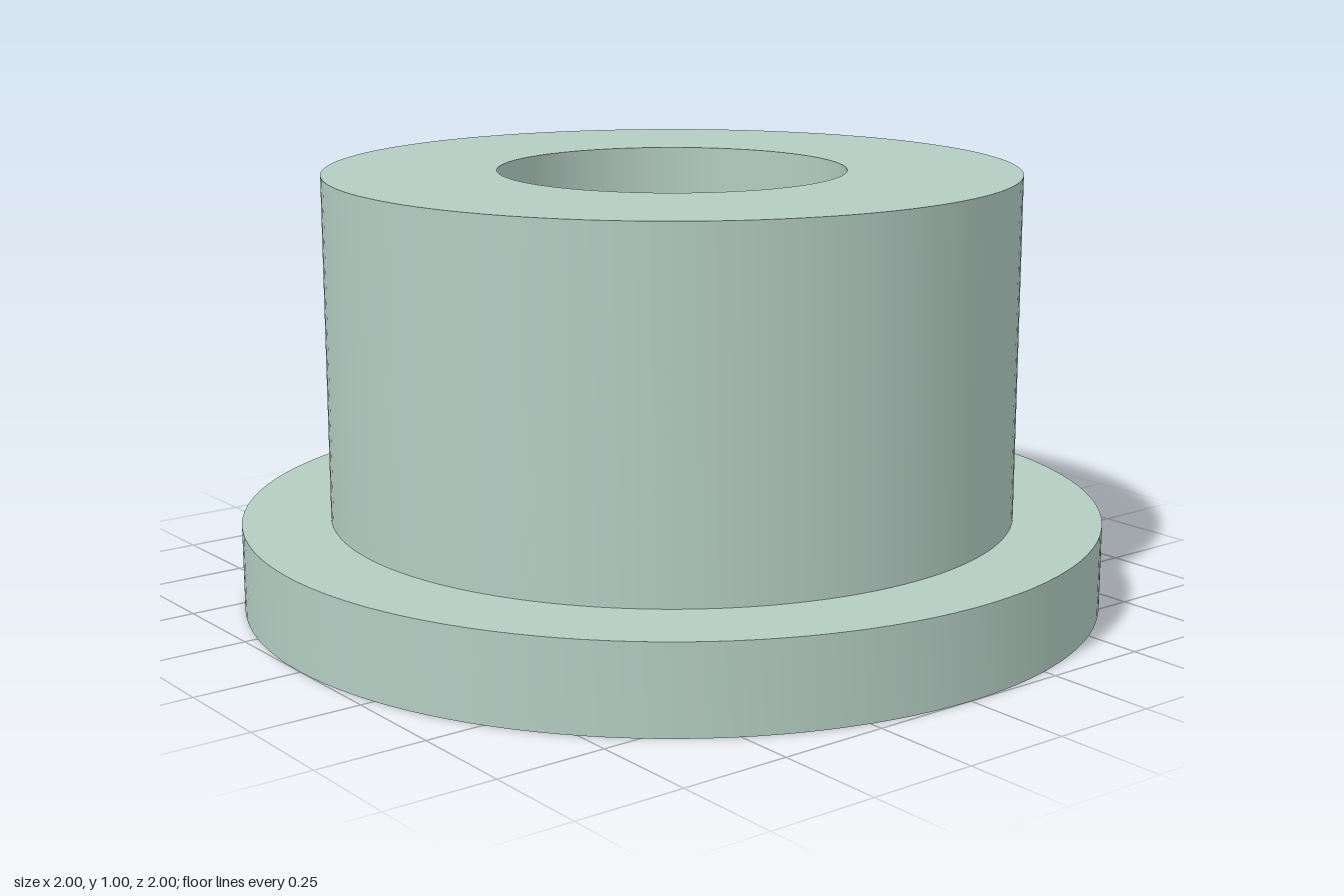
import * as THREE from 'three';
import { toCreasedNormals } from 'three/addons/utils/BufferGeometryUtils.js';

const BORE = 0.4, SLEEVE = 0.797, FLANGE = 1;
const FLANGE_TOP = 0.2, HEIGHT = 0.995;
const SEGMENTS = 128;

export function createModel() {
  const group = new THREE.Group();
  group.name = 'flangedBushing';
  const material = new THREE.MeshStandardMaterial({ color: 0xb3ccc2 });

  // Revolves a [radius, height] profile, keeping its corners sharp
  function addRevolved(name, profile) {
    const points = profile.map(([r, y]) => new THREE.Vector2(r, y));
    const geometry = toCreasedNormals(new THREE.LatheGeometry(points, SEGMENTS), Math.PI / 6);
    const mesh = new THREE.Mesh(geometry, material);
    mesh.name = name;
    group.add(mesh);
  }

  // Flange: lower bore wall, underside, rim and the step around the sleeve
  addRevolved('flange', [
    [BORE, FLANGE_TOP], [BORE, 0], [FLANGE, 0], [FLANGE, FLANGE_TOP], [SLEEVE, FLANGE_TOP],
  ]);

  // Sleeve: outer wall, top ring and upper bore wall
  addRevolved('sleeve', [
    [SLEEVE, FLANGE_TOP], [SLEEVE, HEIGHT], [BORE, HEIGHT], [BORE, FLANGE_TOP],
  ]);

  return group;
}
